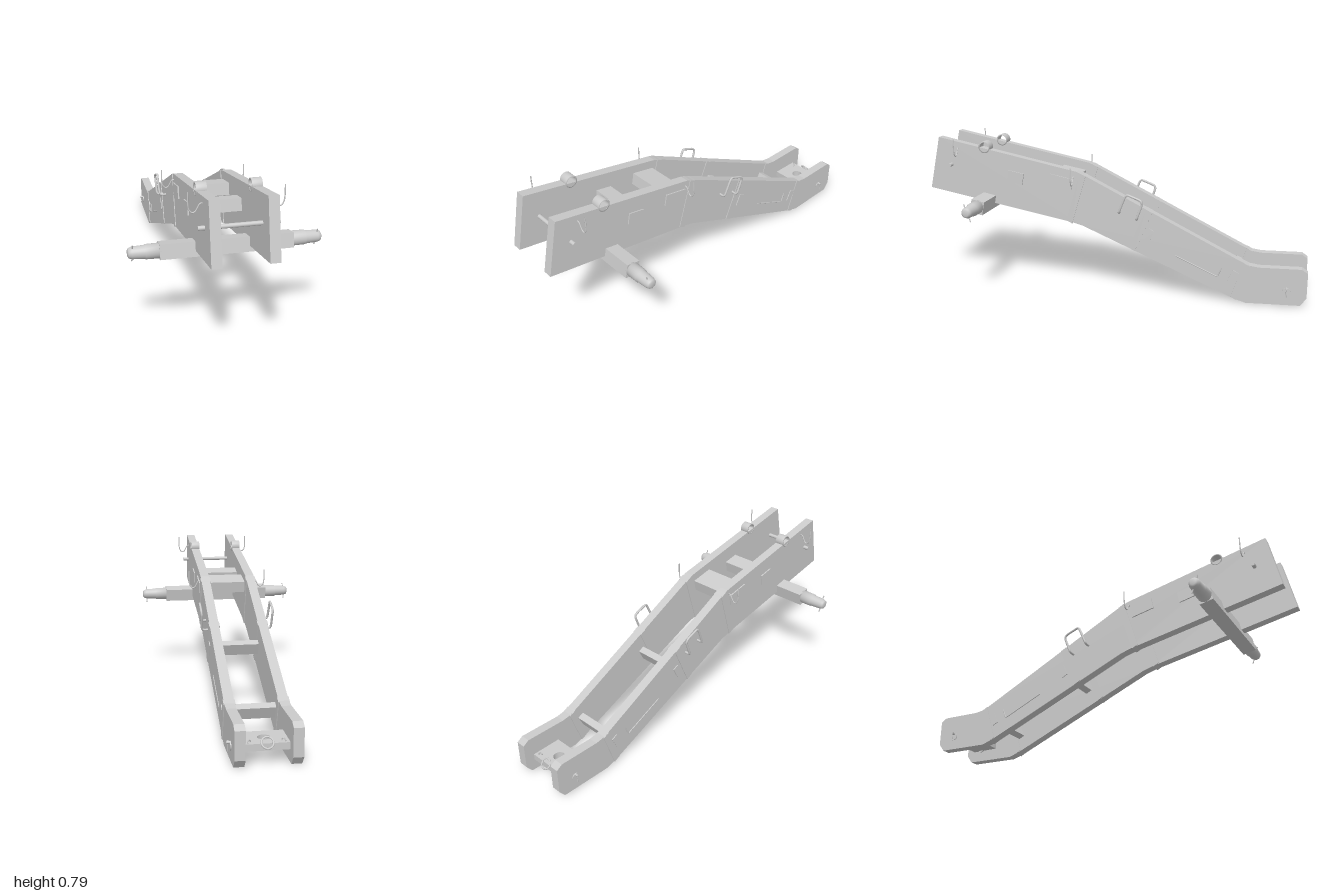
import * as THREE from 'three';

const mat = new THREE.MeshStandardMaterial({ color: 0xcccccc, side: THREE.DoubleSide });
const FRONT_TILT = -0.195, REAR_TILT = -0.45;

export function createModel() {
  const root = new THREE.Group();

  const add = (name, geo, x = 0, y = 0, z = 0) => {
    const m = new THREE.Mesh(geo, mat);
    m.name = name;
    m.position.set(x, y, z);
    root.add(m);
    return m;
  };
  // Box spanning the width, tilted to follow the slope of the beam
  const crossBox = (name, w, h, d, y, z, tilt) => {
    add(name, new THREE.BoxGeometry(w, h, d), 0, y, z).rotation.x = tilt;
  };
  // Outline in (z, y), extruded along x about the given centre
  const sidePanel = (name, pts, x, thick) => {
    const s = new THREE.Shape(pts.map(p => new THREE.Vector2(...p)));
    const g = new THREE.ExtrudeGeometry(s, { depth: thick, bevelEnabled: false });
    g.translate(0, 0, -thick / 2);
    g.rotateY(-Math.PI / 2);
    return add(name, g, x);
  };
  // Bar along x
  const barX = (name, r, len, x, y, z, seg = 16) => {
    const g = new THREE.CylinderGeometry(r, r, len, seg);
    g.rotateZ(Math.PI / 2);
    return add(name, g, x, y, z);
  };
  const wire = (name, pts, r, tension = 0.5) => {
    const c = new THREE.CatmullRomCurve3(pts.map(p => new THREE.Vector3(...p)), false, 'catmullrom', tension);
    return add(name, new THREE.TubeGeometry(c, 40, r, 8), 0, 0, 0);
  };

  // Cranked side beams
  const beam = [
    [1, 0.515], [0.94, 0.79], [0.185, 0.638], [0.13, 0.615], [-0.66, 0.225],
    [-0.71, 0.202], [-0.76, 0.195], [-0.97, 0.2], [-1, 0.18], [-1, 0.05],
    [-0.97, 0.01], [-0.7, 0.002], [-0.64, 0.02], [0.15, 0.352], [0.2, 0.366],
  ];
  // Slanted straps on the beam faces: top z, top y, bottom z, bottom y
  const straps = [
    [0.15, 0.624, 0.225, 0.37],
    [-0.2, 0.452, -0.11, 0.243],
    [-0.7, 0.206, -0.64, 0.021],
  ];

  for (const s of [-1, 1]) {
    sidePanel('sideBeam', beam, s * 0.124, 0.047);
    for (const [z1, y1, z2, y2] of straps) {
      const w = 0.016;
      sidePanel('strap', [[z1 - w, y1 - w / 2], [z1 + w, y1 + w / 2], [z2 + w, y2 + w / 2], [z2 - w, y2 - w / 2]],
        s * 0.124, 0.054);
    }
    // Thin bent rod on the rear panel
    wire('panelRod', [[s * 0.148, 0.225, -0.34], [s * 0.148, 0.13, -0.555], [s * 0.148, 0.18, -0.575]], 0.003, 0);

    // Open sleeve on the upper edge
    const sleeve = new THREE.LatheGeometry([[0.025, -0.024], [0.031, -0.024], [0.031, 0.024], [0.025, 0.024], [0.025, -0.024]]
      .map(p => new THREE.Vector2(...p)), 24);
    sleeve.rotateZ(Math.PI / 2);
    add('topSleeve', sleeve, s * 0.124, 0.745, 0.685);

    // J-shaped hooks
    for (const [z, dy] of [[0.83, 0], [0.198, -0.125]]) {
      wire('hook', [[0.14, 0.737], [0.158, 0.735], [0.168, 0.718], [0.178, 0.702], [0.192, 0.698],
        [0.205, 0.713], [0.209, 0.74], [0.209, 0.79]].map(([x, y]) => [s * x, y + dy, z]), 0.003);
    }

    // Lifting handle
    wire('handle', [[0.14, 0.44, -0.047], [0.172, 0.441, -0.047], [0.18, 0.455, -0.052], [0.184, 0.52, -0.078],
      [0.184, 0.538, -0.092], [0.184, 0.532, -0.112], [0.184, 0.514, -0.158], [0.184, 0.5, -0.168],
      [0.182, 0.485, -0.166], [0.18, 0.422, -0.143], [0.17, 0.41, -0.138], [0.14, 0.41, -0.138]]
      .map(([x, y, z]) => [s * x, y, z]), 0.006);

    // Axle spindle with its retaining pin
    const spindle = new THREE.LatheGeometry([[0, 0.3], [0.035, 0.3], [0.034, 0.368], [0.031, 0.372], [0.028, 0.428],
      [0.023, 0.442], [0.014, 0.447], [0, 0.447]].map(p => new THREE.Vector2(...p)), 24);
    spindle.rotateZ(-s * Math.PI / 2);
    add('spindle', spindle, 0, 0.462, 0.67);
    add('spindlePin', new THREE.CylinderGeometry(0.003, 0.003, 0.095, 8), s * 0.425, 0.46, 0.67).rotation.x = 0.35;

    // Tow pin end with hanging clip
    barX('towPinEnd', 0.02, 0.06, s * 0.122, 0.08, -0.9);
    barX('towPinTip', 0.006, 0.02, s * 0.156, 0.095, -0.9, 10);
    add('towPinClip', new THREE.TorusGeometry(0.007, 0.002, 6, 16), s * 0.16, 0.096, -0.9);
    add('towPinClipLeg', new THREE.CylinderGeometry(0.002, 0.002, 0.036, 6), s * 0.162, 0.073, -0.9);
  }

  // Axle and cross members, ends showing through the beams
  crossBox('axleBeam', 0.614, 0.07, 0.07, 0.461, 0.67, FRONT_TILT);
  crossBox('frontCrossMember', 0.308, 0.06, 0.085, 0.592, 0.515, FRONT_TILT);
  crossBox('frontCrossMember', 0.308, 0.06, 0.125, 0.58, 0.268, FRONT_TILT);
  crossBox('rearCrossMember', 0.304, 0.065, 0.035, 0.325, -0.2, REAR_TILT);
  crossBox('rearCrossMember', 0.304, 0.065, 0.035, 0.135, -0.635, REAR_TILT);
  barX('frontRod', 0.01, 0.354, 0, 0.645, 0.875);

  // Tow plate with pin hole
  const plate = new THREE.Shape();
  plate.moveTo(-0.102, 0.8).lineTo(0.102, 0.8).lineTo(0.102, 0.95).lineTo(-0.102, 0.95).closePath();
  const hole = new THREE.Path();
  hole.absarc(0, 0.875, 0.029, 0, Math.PI * 2, true);
  plate.holes.push(hole);
  const plateGeo = new THREE.ExtrudeGeometry(plate, { depth: 0.032, bevelEnabled: false, curveSegments: 24 });
  plateGeo.rotateX(-Math.PI / 2);
  add('towPlate', plateGeo, 0, 0.068, 0);

  // Ring and small lugs at the tail
  const ring = add('towRing', new THREE.TorusGeometry(0.026, 0.004, 8, 28), 0, 0.105, -0.955);
  ring.rotation.x = 0.7;
  for (const s of [-1, 1]) {
    add('plateLug', new THREE.TorusGeometry(0.009, 0.003, 6, 14), s * 0.075, 0.103, -0.93).rotation.y = 0.7 * s;
  }
  return root;
}
